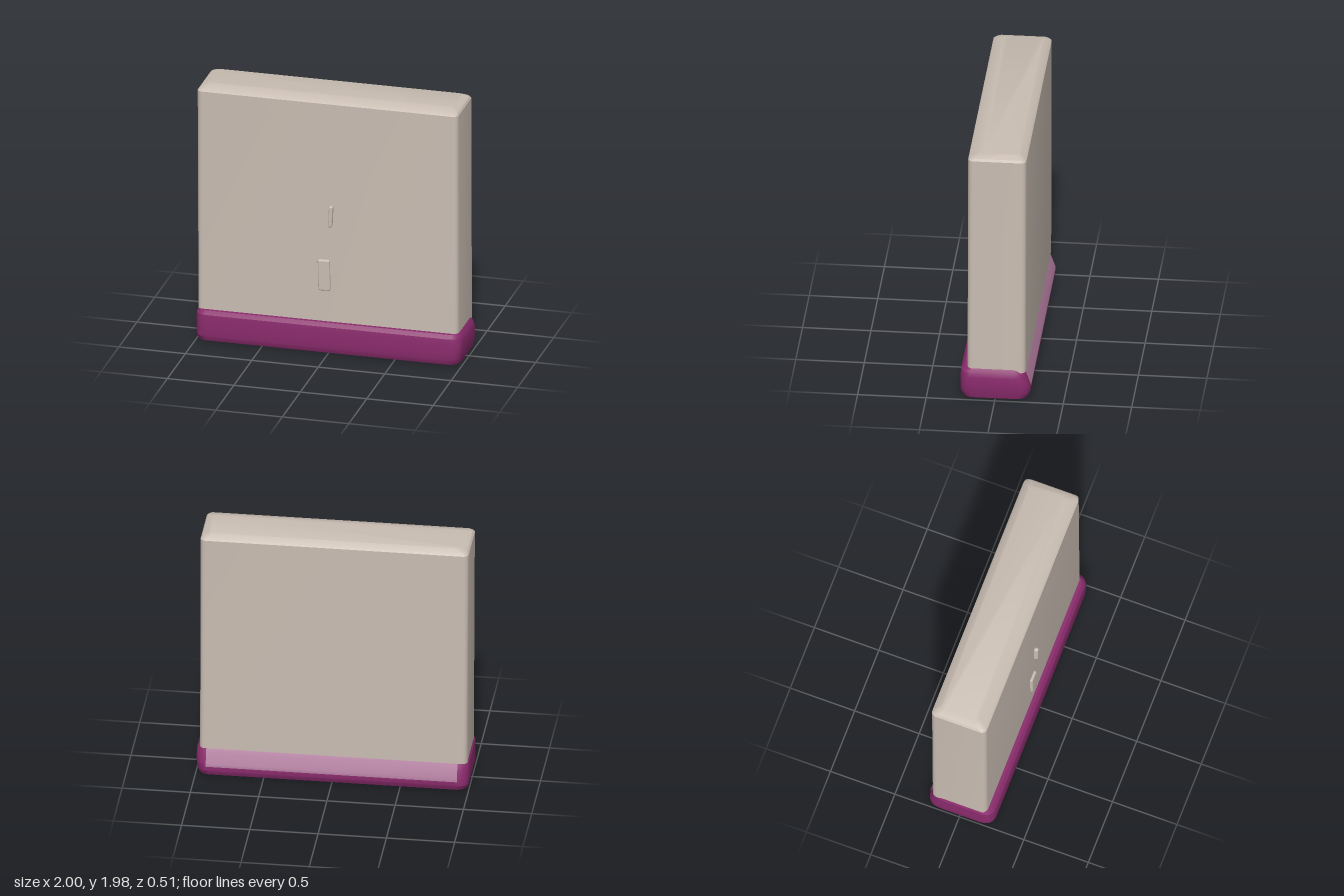
import * as THREE from 'three';
import { toCreasedNormals } from 'three/addons/utils/BufferGeometryUtils.js';
import { RoundedBoxGeometry } from 'three/addons/geometries/RoundedBoxGeometry.js';

const CORNER_STEPS = 5;

// Rounded rectangle outline at height y, running from +x round to +z
function ring([y, x0, x1, z0, z1, r]) {
  const corners = [[x1 - r, z1 - r], [x0 + r, z1 - r], [x0 + r, z0 + r], [x1 - r, z0 + r]];
  const points = [];
  corners.forEach(([cx, cz], i) => {
    for (let k = 0; k <= CORNER_STEPS; k++) {
      const a = (i + k / CORNER_STEPS) * Math.PI / 2;
      points.push([cx + r * Math.cos(a), y, cz + r * Math.sin(a)]);
    }
  });
  return points;
}

// Skin a stack of outlines, bottom to top, and close both ends
function loft(sections) {
  const rings = sections.map(ring);
  const n = rings[0].length;
  const index = [];
  for (let j = 0; j < rings.length - 1; j++) {
    for (let i = 0; i < n; i++) {
      const a = j * n + i, b = j * n + (i + 1) % n;
      index.push(a, a + n, b, b, a + n, b + n);
    }
  }
  const top = (rings.length - 1) * n;
  for (let i = 1; i < n - 1; i++) {
    index.push(0, i, i + 1);
    index.push(top, top + i + 1, top + i);
  }
  const geometry = new THREE.BufferGeometry();
  geometry.setAttribute('position', new THREE.Float32BufferAttribute(rings.flat(2), 3));
  geometry.setIndex(index);
  return toCreasedNormals(geometry, 0.45);
}

export function createModel() {
  const beige = new THREE.MeshStandardMaterial({ color: 0xc9bdb2 });
  beige.name = 'beige';
  const purple = new THREE.MeshStandardMaterial({ color: 0x8a2b6c });
  purple.name = 'purple';
  const pink = new THREE.MeshStandardMaterial({ color: 0xb57fa2, side: THREE.DoubleSide });
  pink.name = 'pink';

  const model = new THREE.Group();
  const add = (name, geometry, material, x = 0, y = 0, z = 0) => {
    const mesh = new THREE.Mesh(geometry, material);
    mesh.name = name;
    mesh.position.set(x, y, z);
    model.add(mesh);
    return mesh;
  };

  // Tall slab with a bevelled top: y, x0, x1, z0, z1, corner radius
  add('slab', loft([
    [0.22, -0.99, 0.97, -0.222, 0.205, 0.04],
    [1.94, -0.998, 0.965, -0.225, 0.2, 0.04],
    [1.957, -0.985, 0.955, -0.21, 0.18, 0.04],
    [1.978, -0.93, 0.91, -0.17, 0.115, 0.03],
  ]), beige);

  // Plinth, sloping at the back
  add('plinth', loft([
    [0, -0.965, 0.96, -0.21, 0.21, 0.06],
    [0.012, -0.99, 0.98, -0.235, 0.24, 0.08],
    [0.05, -1, 0.99, -0.253, 0.257, 0.08],
    [0.11, -1, 0.997, -0.253, 0.257, 0.08],
    [0.18, -1, 0.998, -0.228, 0.257, 0.08],
    [0.215, -1, 0.99, -0.215, 0.252, 0.08],
    [0.243, -0.985, 0.97, -0.2, 0.23, 0.07],
  ]), purple);

  // Pale strip following the back slope
  const strip = new THREE.PlaneGeometry(1.84, 1, 1, 4);
  const profile = [[0.244, -0.203], [0.215, -0.218], [0.18, -0.231], [0.11, -0.256], [0.085, -0.256]];
  const position = strip.attributes.position;
  for (let i = 0; i < position.count; i++) {
    const [y, z] = profile[Math.floor(i / 2)];
    position.setXYZ(i, -position.getX(i), y, z);
  }
  strip.computeVertexNormals();
  add('backStrip', strip, pink);

  // Small fittings on the front
  const handle = add('handle', new RoundedBoxGeometry(0.03, 0.165, 0.05, 3, 0.012), beige, 0.016, 1.07, 0.207);
  handle.rotation.z = -0.05;
  const plate = add('lockPlate', new RoundedBoxGeometry(0.09, 0.24, 0.04, 3, 0.012), beige, -0.035, 0.605, 0.203);
  plate.rotation.z = 0.02;

  return model;
}
